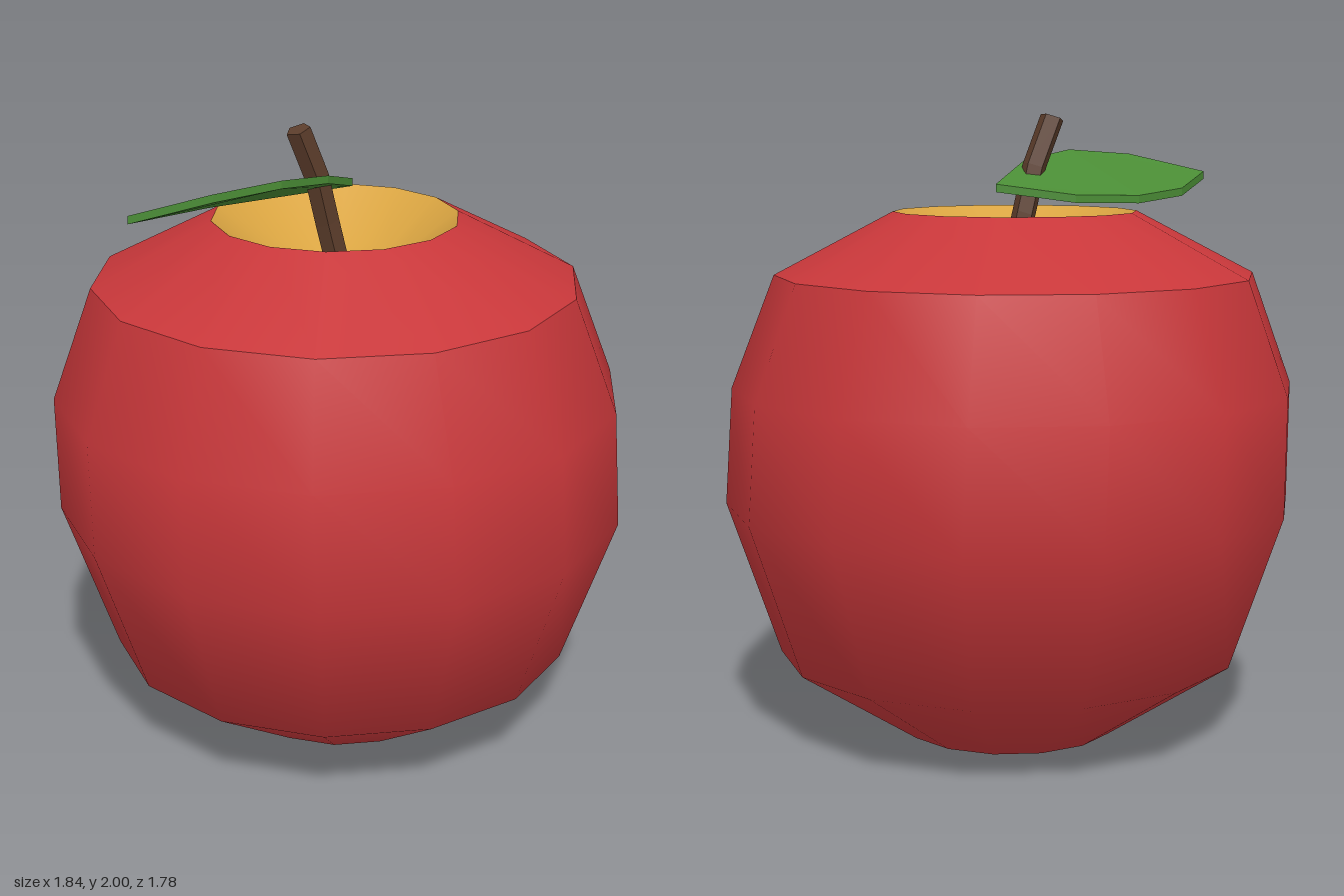
import * as THREE from 'three';

const SIDES = 14;

const material = (color, extra = {}) => new THREE.MeshStandardMaterial({ color, ...extra });

function part(name, geometry, mat) {
  const mesh = new THREE.Mesh(geometry, mat);
  mesh.name = name;
  return mesh;
}

// Moves every vertex by a rule, then refreshes the normals if asked
function reshape(geometry, rule, recompute = false) {
  const pos = geometry.attributes.position;
  const v = new THREE.Vector3();
  for (let i = 0; i < pos.count; i++) {
    rule(v.fromBufferAttribute(pos, i));
    pos.setXYZ(i, v.x, v.y, v.z);
  }
  if (recompute) geometry.computeVertexNormals();
  return geometry;
}

// Turned section of the fruit, leaning slightly to one side near the top
function turned(profile) {
  const points = profile.map(([r, y]) => new THREE.Vector2(r, y));
  const geometry = new THREE.LatheGeometry(points, SIDES, Math.PI / 2);
  return reshape(geometry, (v) => {
    v.x -= 0.02 * THREE.MathUtils.clamp((v.y - 0.75) / 0.5, 0, 1);
  });
}

// Five-sided stem, bent along a curve
function stemGeometry() {
  const path = new THREE.CatmullRomCurve3([
    new THREE.Vector3(0.01, 1.43, 0),
    new THREE.Vector3(-0.05, 1.68, 0.02),
    new THREE.Vector3(-0.085, 1.83, 0.04),
    new THREE.Vector3(-0.145, 1.985, 0.07),
  ]);
  const geometry = new THREE.CylinderGeometry(0.038, 0.038, 1, 5, 3);
  return reshape(geometry, (v) => {
    const centre = path.getPoint(THREE.MathUtils.clamp(v.y + 0.5, 0, 1));
    v.set(centre.x + v.x, centre.y + v.x * 0.3 - v.z * 0.15, centre.z + v.z);
  }, true);
}

// Thin leaf, tilted across its width and arched along its length
function leafGeometry() {
  const outline = [
    [0.05, -0.11], [-0.2, -0.13], [-0.41, -0.06], [-0.57, 0.08],
    [-0.68, 0.31], [-0.43, 0.325], [-0.22, 0.26], [-0.06, 0.11],
  ];
  const shape = new THREE.Shape(outline.map(([x, z]) => new THREE.Vector2(x, -z)));
  const geometry = new THREE.ExtrudeGeometry(shape, { depth: 0.025, bevelEnabled: false });
  geometry.rotateX(-Math.PI / 2);
  return reshape(geometry, (v) => {
    const dx = v.x + 0.31, dz = v.z - 0.1;
    const across = 0.5 * dx + 0.87 * dz;
    const along = -0.87 * dx + 0.5 * dz;
    v.y += 1.785 + 0.37 * across + 0.03 * along - 0.1 * along * along;
  }, true);
}

export function createModel() {
  const model = new THREE.Group();
  model.name = 'apple';

  const skin = material(0xc8373a);
  const flesh = material(0xd9a441, { side: THREE.DoubleSide });
  const bark = material(0x5c3d2b, { flatShading: true });
  const green = material(0x4a8c35, { flatShading: true });

  model.add(
    // Skin: rounded body and a sharply turned shoulder
    part('body', turned([[0.345, 0], [0.745, 0.26], [0.915, 0.755], [0.905, 1.13], [0.77, 1.49]]), skin),
    part('shoulder', turned([[0.77, 1.49], [0.39, 1.69]]), skin),
    // Hollows at both ends
    part('topHollow', turned([[0.39, 1.69], [0.2, 1.55], [0, 1.47]]), flesh),
    part('bottomHollow', turned([[0, 0.16], [0.18, 0.11], [0.345, 0]]), flesh),
    part('stem', stemGeometry(), bark),
    part('leaf', leafGeometry(), green),
  );
  return model;
}
